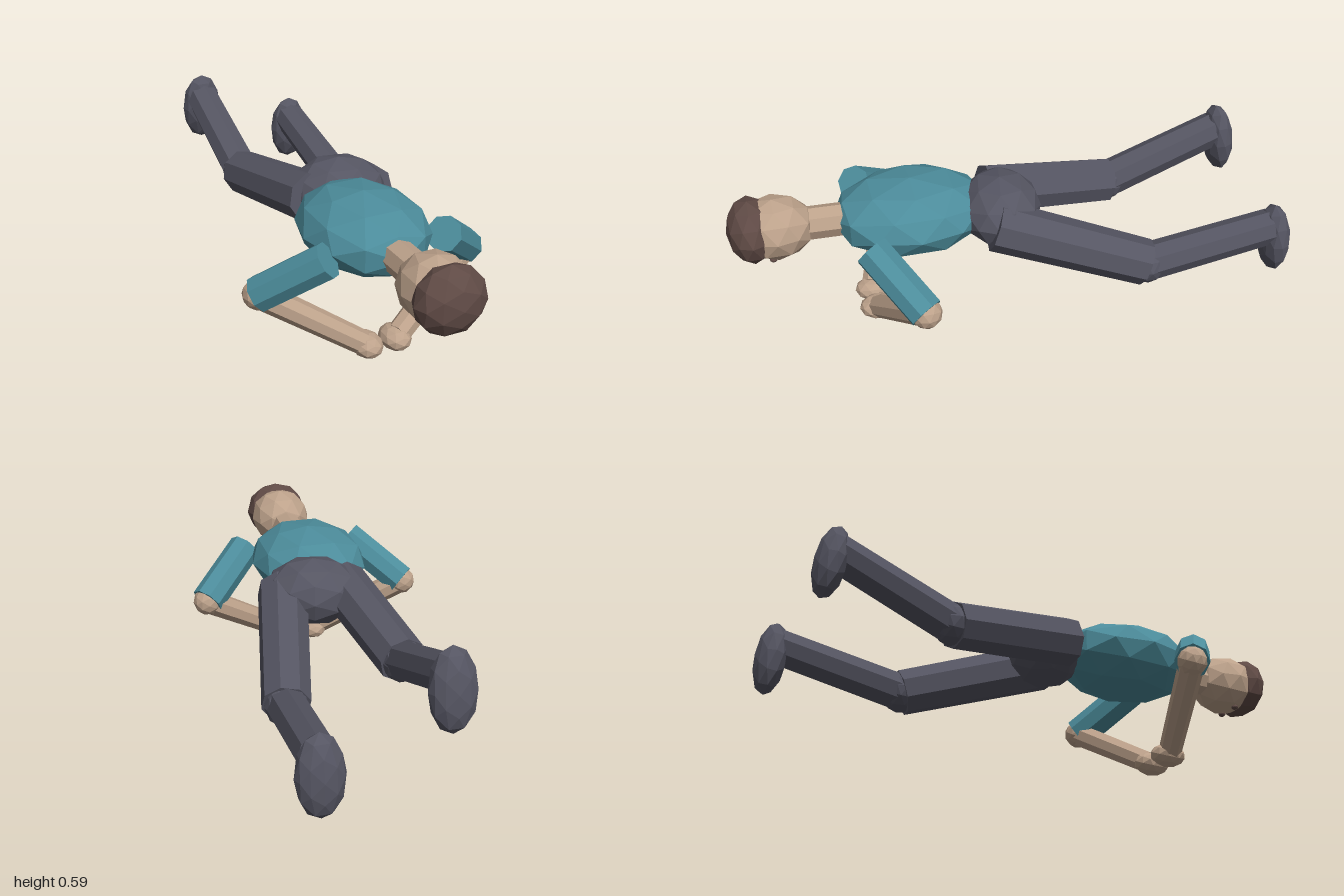
import * as THREE from 'three';

const mat = (name, color) => {
  const m = new THREE.MeshStandardMaterial({ color, flatShading: true });
  m.name = name;
  return m;
};

export function createModel() {
  const group = new THREE.Group();
  const skin = mat('skin', 0xbda28b);
  const hairBrown = mat('hair brown', 0x5f4a45);
  const teal = mat('shirt teal', 0x4c8c9b);
  const dark = mat('trouser grey', 0x555562);

  // Faceted ellipsoid
  const blob = (name, material, pos, radii, rot = [0, 0, 0]) => {
    const geo = new THREE.IcosahedronGeometry(1, 1).scale(...radii);
    const mesh = new THREE.Mesh(geo, material);
    mesh.name = name;
    mesh.position.set(...pos);
    mesh.rotation.set(...rot);
    group.add(mesh);
  };

  // Eight-sided limb between two joints
  const limb = (name, material, from, to, r0, r1) => {
    const a = new THREE.Vector3(...from);
    const b = new THREE.Vector3(...to);
    const dir = b.clone().sub(a);
    const mesh = new THREE.Mesh(new THREE.CylinderGeometry(r1, r0, dir.length(), 8), material);
    mesh.name = name;
    mesh.position.copy(a).add(b).multiplyScalar(0.5);
    mesh.quaternion.setFromUnitVectors(new THREE.Vector3(0, 1, 0), dir.normalize());
    group.add(mesh);
  };

  // Trunk
  blob('torso', teal, [0, 0.415, 0.35], [0.22, 0.135, 0.285]);
  blob('hips', dark, [0.06, 0.415, 0.04], [0.178, 0.125, 0.15], [0, -0.2, 0]);

  // Head, crown pointing forward and face down
  limb('neck', skin, [0, 0.418, 0.56], [0, 0.422, 0.75], 0.06, 0.06);
  blob('head', skin, [0, 0.425, 0.83], [0.12, 0.115, 0.14]);
  blob('hair', hairBrown, [0, 0.428, 0.912], [0.125, 0.118, 0.085]);

  for (const s of [1, -1]) {
    const side = s > 0 ? 'left' : 'right';
    blob(side + 'Eye', hairBrown, [s * 0.042, 0.319, 0.85], [0.014, 0.01, 0.014]);

    // Arms, hands meeting under the chest
    const elbow = [s * 0.4, 0.265, 0.38];
    limb(side + 'UpperArm', teal, [s * 0.215, 0.42, 0.525], elbow, 0.064, 0.064);
    blob(side + 'Elbow', skin, elbow, [0.055, 0.055, 0.055]);
    limb(side + 'Forearm', skin, elbow, [s * 0.07, 0.055, 0.5], 0.048, 0.043);
    blob(side + 'Hand', skin, [s * 0.055, 0.045, 0.5], [0.055, 0.043, 0.07]);
  }

  // Legs, trailing behind at different heights
  const legs = [
    { side: 'left', hip: [0.165, 0.41, 0.08], knee: [0.28, 0.23, -0.45],
      ankle: [0.295, 0.315, -0.92], foot: [0.295, 0.263, -0.94], tilt: 0.07 },
    { side: 'right', hip: [-0.06, 0.415, 0.07], knee: [-0.13, 0.33, -0.43],
      ankle: [-0.13, 0.495, -0.86], foot: [-0.13, 0.453, -0.88], tilt: 0.13 },
  ];
  for (const { side, hip, knee, ankle, foot, tilt } of legs) {
    limb(side + 'Thigh', dark, hip, knee, 0.093, 0.085);
    blob(side + 'Knee', dark, knee, [0.076, 0.076, 0.076]);
    limb(side + 'Shin', dark, knee, ankle, 0.07, 0.066);
    blob(side + 'Foot', dark, foot, [0.08, 0.142, 0.056], [tilt, 0, 0]);
  }

  return group;
}
